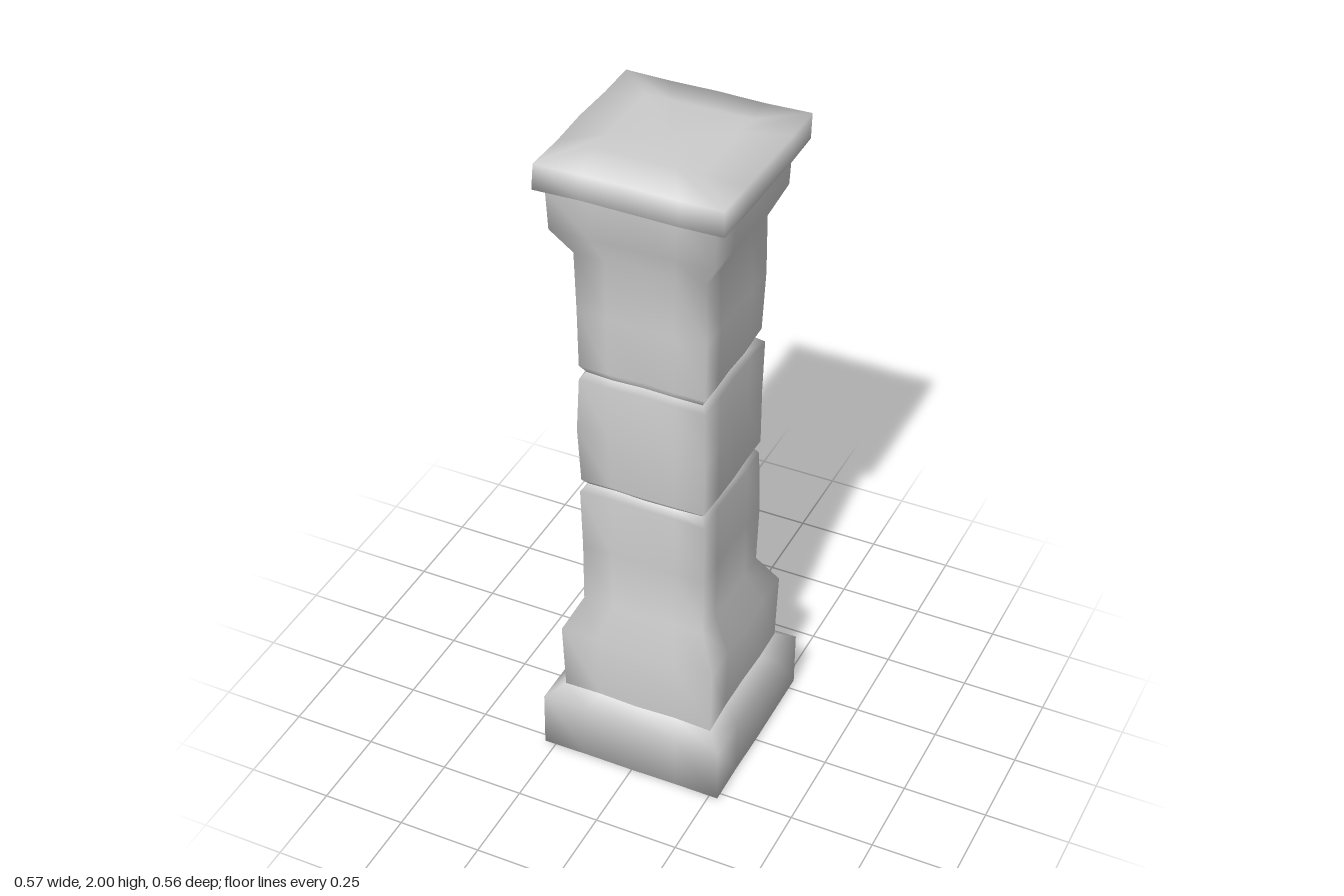
import * as THREE from 'three';

// Corners and side points of a unit square, walked once around
const SQUARE = [];
const CORNERS = [[1, 1], [1, -1], [-1, -1], [-1, 1]];
CORNERS.forEach(([x, z], i) => {
  const [nx, nz] = CORNERS[(i + 1) % 4];
  for (const t of [0, 0.24, 0.5, 0.76]) SQUARE.push([x + (nx - x) * t, z + (nz - z) * t]);
});

// Small repeatable unevenness of hand-cut stone
function wobble(a, b) {
  const s = Math.sin(a * 12.99 + b * 78.23) * 43758.55;
  return (s - Math.floor(s) - 0.5) * 0.008;
}

// Smooth square tube through [half width, height] sections, bottom to top
function squareLoft(sections, dx = 0, dz = 0) {
  const n = SQUARE.length;
  const position = [];
  const index = [];
  sections.forEach(([half, y], i) => {
    SQUARE.forEach(([x, z], j) => {
      const r = half > 0.16 ? half + wobble(j, y) : half;
      position.push(x * r + dx, y, z * r + dz);
      if (i === sections.length - 1) return;
      const a = i * n + j, b = i * n + (j + 1) % n;
      index.push(a, b, a + n, b, b + n, a + n);
    });
  });
  const geometry = new THREE.BufferGeometry();
  geometry.setAttribute('position', new THREE.Float32BufferAttribute(position, 3));
  geometry.setIndex(index);
  geometry.computeVertexNormals();
  return geometry;
}

export function createModel() {
  const group = new THREE.Group();
  const stone = new THREE.MeshStandardMaterial({ color: 0xcccccc });
  stone.name = 'grey stone';

  const add = (name, sections, dx, dz) => {
    const mesh = new THREE.Mesh(squareLoft(sections, dx, dz), stone);
    mesh.name = name;
    group.add(mesh);
  };

  // Closed foot slab with a ledge on top
  add('base', [[0, 0], [0.15, 0], [0.277, 0.008], [0.279, 0.185], [0.232, 0.218]]);
  // Flared footing narrowing into the lower shaft
  add('lowerShaft', [[0.232, 0.218], [0.238, 0.43], [0.187, 0.53], [0.187, 0.72],
    [0.188, 0.915], [0.17, 0.935]]);
  // Block between the two grooves
  add('middleShaft', [[0.17, 0.935], [0.188, 0.955], [0.19, 1.13], [0.188, 1.295], [0.172, 1.315]]);
  // Upper shaft flaring out under the cap
  add('upperShaft', [[0.172, 1.315], [0.187, 1.34], [0.191, 1.52], [0.187, 1.7],
    [0.233, 1.785], [0.237, 1.905]]);
  // Closed top slab
  add('cap', [[0.225, 1.905], [0.266, 1.91], [0.266, 1.985], [0.15, 2], [0, 2]], 0.003, -0.006);

  return group;
}
